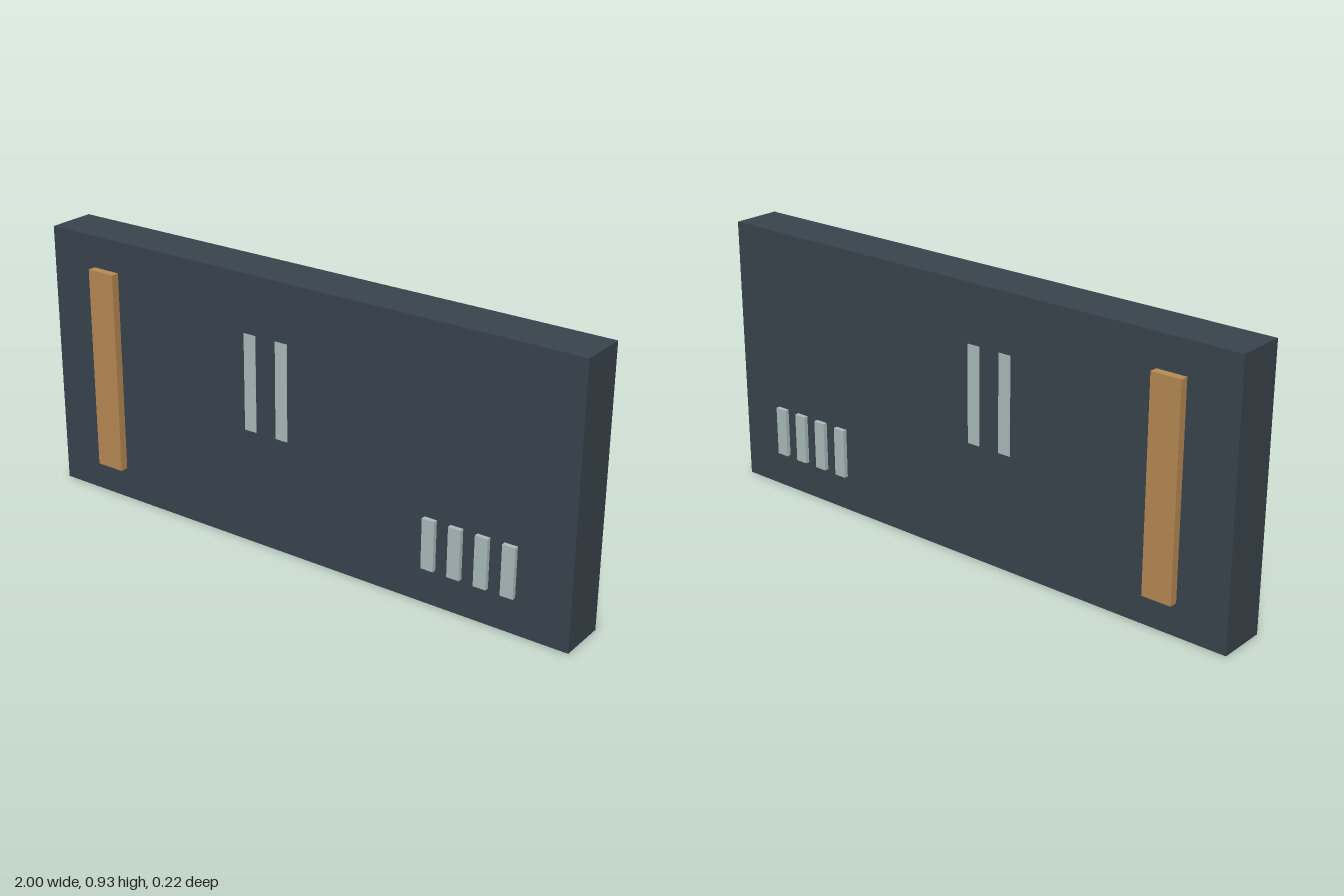
import * as THREE from 'three';

const DARK = new THREE.MeshStandardMaterial({ color: 0x39444d });
const ORANGE = new THREE.MeshStandardMaterial({ color: 0xb88a54 });
const PALE = new THREE.MeshStandardMaterial({ color: 0xacbcbd });

// Box given by its centre x, width and its bottom/top and back/front limits
function block(name, material, x, width, [y0, y1], [z0, z1]) {
  const mesh = new THREE.Mesh(new THREE.BoxGeometry(width, y1 - y0, z1 - z0), material);
  mesh.position.set(x, (y0 + y1) / 2, (z0 + z1) / 2);
  mesh.name = name;
  return mesh;
}

// Trim of one face: side is 1 for the front, -1 for the back
function faceTrim(side) {
  const trim = new THREE.Group();
  trim.name = side > 0 ? 'frontTrim' : 'backTrim';
  const depth = (near, far) => (side > 0 ? [near, far] : [-far, -near]);

  // Tall raised strip
  trim.add(block('tallStrip', ORANGE, -0.77, 0.104, [0.11, 0.816], depth(0.08, 0.112)));

  // Pair of nearly flush bars in the middle
  for (let i = 0; i < 2; i++) {
    trim.add(block('middleBar', PALE, -0.17 + i * 0.123, 0.046, [0.397, 0.727], depth(0.07, 0.0855)));
  }

  // Row of four short slats standing off the panel
  for (let i = 0; i < 4; i++) {
    trim.add(block('shortSlat', PALE, 0.523 + i * 0.0925, 0.044, [0.132, 0.302], depth(0.097, 0.112)));
  }
  return trim;
}

export function createModel() {
  const model = new THREE.Group();
  model.name = 'panel';
  model.add(block('slab', DARK, 0, 2, [0, 0.925], [-0.084, 0.084]));
  model.add(faceTrim(1), faceTrim(-1));
  return model;
}
